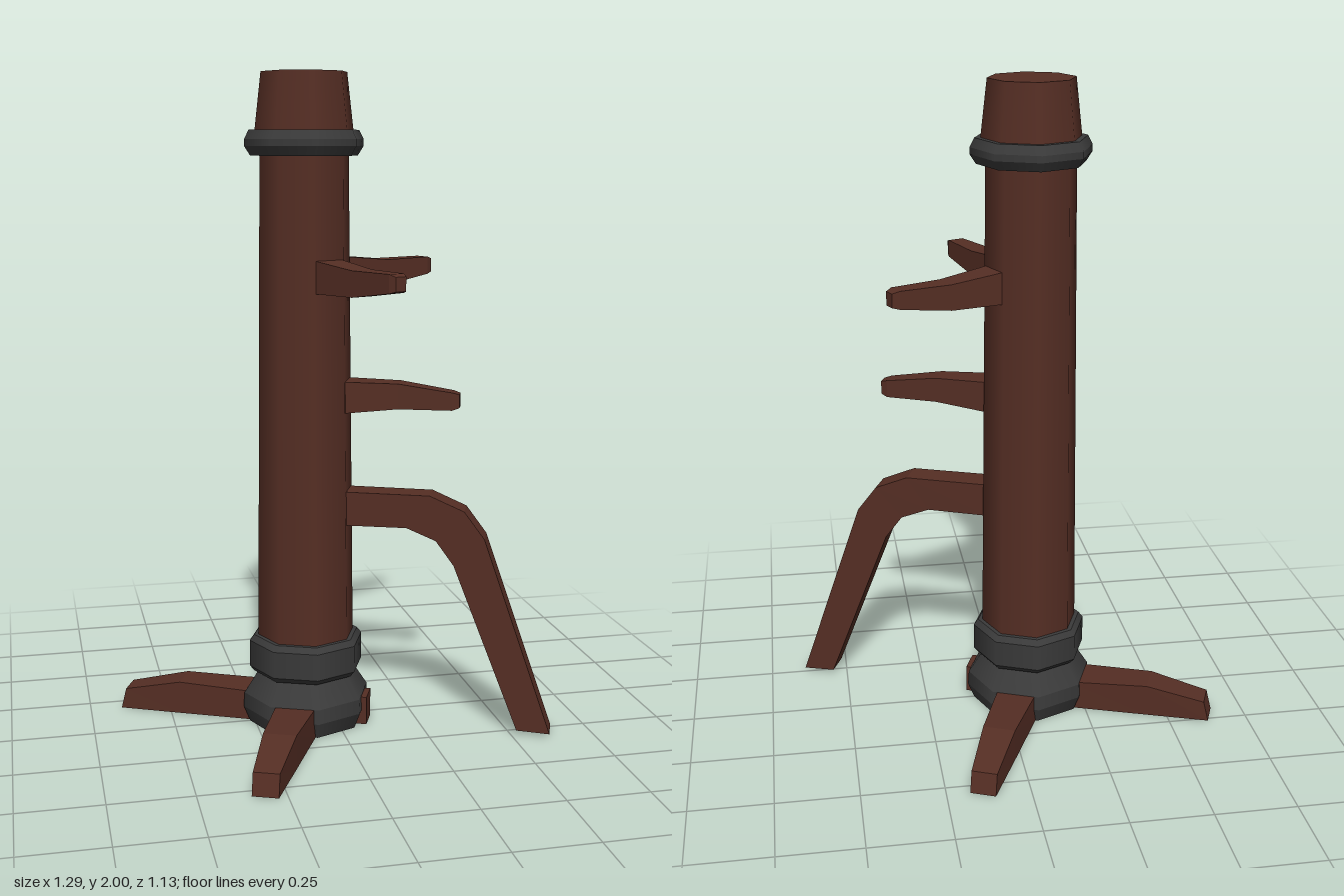
import * as THREE from 'three';

const wood = new THREE.MeshStandardMaterial({ color: 0x552e24 });
wood.name = 'dark wood';
const iron = new THREE.MeshStandardMaterial({ color: 0x3a3a3a });
iron.name = 'dark iron';

const SIDES = 8;

// Stack of eight-sided frustums through [radius, y] points, crisp between bands
function turned(name, material, profile) {
  const group = new THREE.Group();
  group.name = name;
  for (let i = 0; i < profile.length - 1; i++) {
    const [r0, y0] = profile[i];
    const [r1, y1] = profile[i + 1];
    const open = i > 0 && i < profile.length - 2;
    const geometry = new THREE.CylinderGeometry(r1, r0, y1 - y0, SIDES, 1, open);
    const mesh = new THREE.Mesh(geometry, material);
    mesh.name = name + 'Band';
    mesh.position.y = (y0 + y1) / 2;
    group.add(mesh);
  }
  return group;
}

// Four-sided beam running outwards through stations
// [top reach, top y, bottom reach, bottom y, half width]
function beam(name, degrees, stations, lift = 0) {
  const rings = stations.map(([rt, yt, rb, yb, w]) => [
    [rt, yt, -w], [rt, yt, w], [rb, yb, w], [rb, yb, -w],
  ]);
  const points = [];
  const quad = (a, b, c, d) => [a, b, c, a, c, d].forEach((p) => points.push(...p));
  for (let i = 0; i < rings.length - 1; i++) {
    for (let j = 0; j < 4; j++) {
      const k = (j + 1) % 4;
      quad(rings[i][j], rings[i][k], rings[i + 1][k], rings[i + 1][j]);
    }
  }
  quad(...rings[rings.length - 1]);
  quad(...[...rings[0]].reverse());

  const geometry = new THREE.BufferGeometry();
  geometry.setAttribute('position', new THREE.Float32BufferAttribute(points, 3));
  geometry.computeVertexNormals();
  const mesh = new THREE.Mesh(geometry, wood);
  mesh.name = name;
  mesh.rotation.y = -THREE.MathUtils.degToRad(degrees);
  mesh.position.y = lift;
  return mesh;
}

export function createModel() {
  const model = new THREE.Group();
  model.name = 'trainingPost';
  const body = new THREE.Group();
  body.name = 'body';
  body.position.x = -0.085;
  model.add(body);

  // Post and its tapered head
  body.add(turned('post', wood, [[0.152, 0.2], [0.135, 1.79]]));
  body.add(turned('postHead', wood, [[0.153, 1.8], [0.13, 2]]));

  // Iron fittings
  body.add(turned('upperRing', iron, [[0.163, 1.757], [0.181, 1.785], [0.181, 1.805], [0.167, 1.832]]));
  body.add(turned('lowerCollar', iron, [[0.165, 0.165], [0.179, 0.182], [0.179, 0.265], [0.165, 0.283]]));
  body.add(turned('base', iron, [[0.18, 0], [0.2, 0.05], [0.197, 0.095], [0.145, 0.175]]));

  // Upper pair of arms, dipping slightly
  const upperArm = [
    [0.12, 0.05, 0.12, -0.047, 0.048],
    [0.29, 0.033, 0.29, -0.044, 0.036],
    [0.452, 0.034, 0.452, -0.02, 0.026],
    [0.473, 0.027, 0.473, -0.014, 0.018],
  ];
  body.add(beam('upperArmLeft', -22.5, upperArm, 1.405));
  body.add(beam('upperArmRight', 67.5, upperArm, 1.405));

  // Middle arm, arching slightly
  const middleArm = upperArm.map(([rt, yt, rb, yb, w]) => [rb, -yb, rt, -yt, w]);
  body.add(beam('middleArm', 22.5, middleArm, 1.04));

  // Bent leg
  body.add(beam('leg', 22.5, [
    [0.12, 0.747, 0.12, 0.642, 0.044],
    [0.39, 0.745, 0.32, 0.642, 0.042],
    [0.495, 0.7, 0.41, 0.605, 0.041],
    [0.557, 0.617, 0.465, 0.53, 0.041],
    [0.767, 0.01, 0.666, 0.015, 0.04],
  ]));

  // Spreading feet, with a cut-off stub below the leg
  for (const degrees of [-67.5, 112.5, 202.5]) {
    body.add(beam('foot', degrees, [
      [0.15, 0.093, 0.165, 0.001, 0.062],
      [0.4, 0.104, 0.4, 0.001, 0.05],
      [0.582, 0.066, 0.598, 0.001, 0.039],
    ]));
  }
  body.add(beam('footStub', 22.5, [
    [0.13, 0.09, 0.13, 0.002, 0.04],
    [0.2, 0.09, 0.2, 0.002, 0.04],
  ]));

  return model;
}
